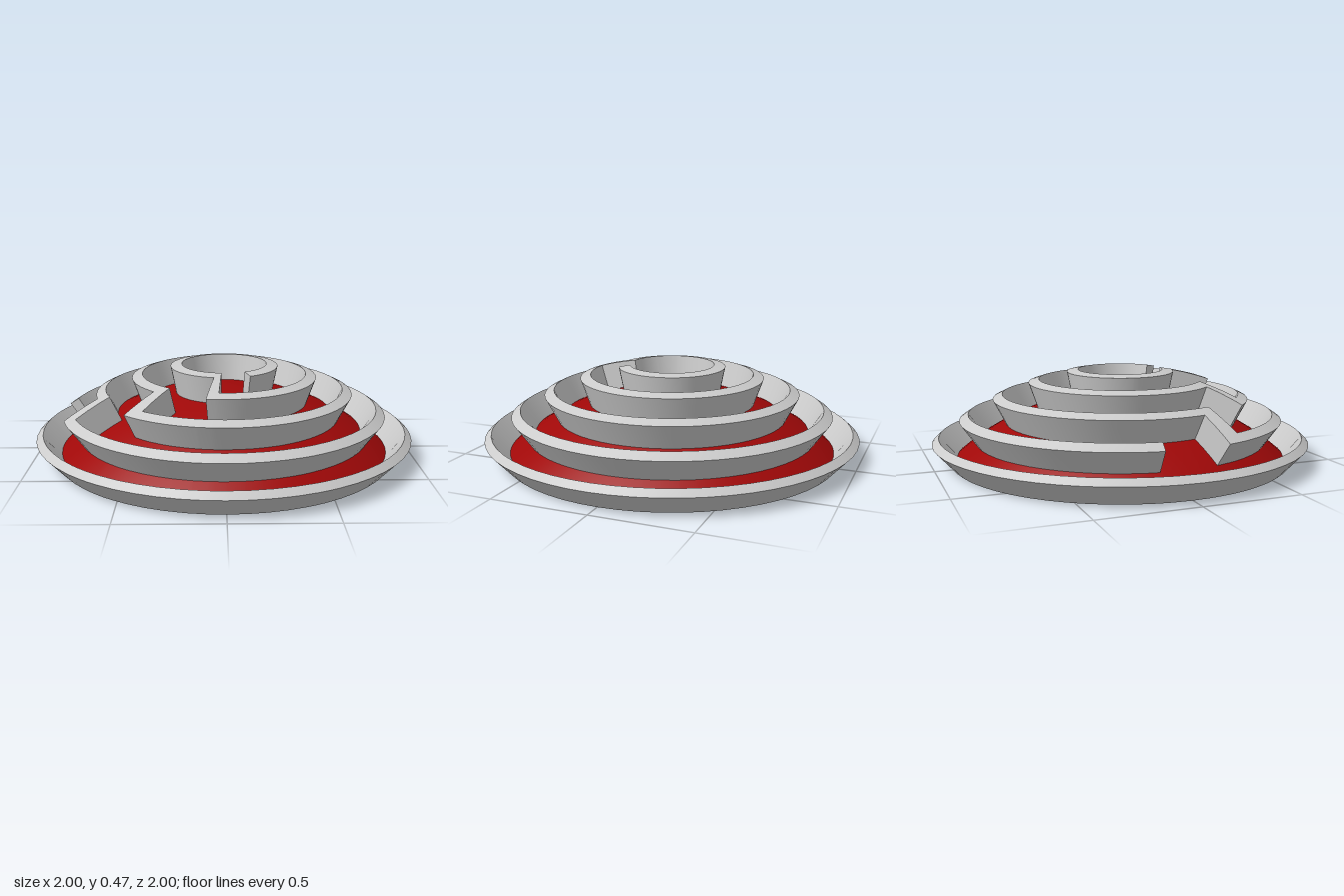
import * as THREE from 'three';
import { toCreasedNormals } from 'three/addons/utils/BufferGeometryUtils.js';

// Spherical dome whose centre lies one unit below the ground
const FLOOR_R = 1.348, TOP_R = 1.492;

// Plan radii (measured at wall-top level) that bound the rings of cells
const radii = [0, 0.11, 0.225, 0.285, 0.36, 0.435, 0.49, 0.56, 0.63, 0.68, 0.745, 0.81, 0.857, 0.91, 0.965, 1];

// Spiral arcs: [inner radius, outer radius, start, end] in degrees from +x towards +z
const arcs = [
  [0.225, 0.285, 101 - 360, 63],
  [0.435, 0.49, 136 - 360, 101],
  [0.63, 0.68, 165 - 360, 136],
  [0.81, 0.857, 187.4 - 360, 165],
  // radial connectors between neighbouring rings
  [0.225, 0.49, 94, 101],
  [0.435, 0.68, 129, 136],
  [0.63, 0.857, 158.5, 165],
];

// Angular steps, with the arc ends added so the walls stop exactly there
const angles = [];
for (let a = 0; a < 360; a += 6) angles.push(a);
for (const [, , s, e] of arcs) angles.push((s + 360) % 360, (e + 360) % 360);
const steps = [...new Set(angles.map((a) => Math.round(a * 10) / 10))].sort((a, b) => a - b);
steps.push(360);

// What stands on a cell: floor, wall, rim, or nothing outside the dome
function cellKind(i, a) {
  if (i >= radii.length - 1) return 'none';
  if (i === radii.length - 2) return 'rim';
  const r = (radii[i] + radii[i + 1]) / 2;
  const hit = arcs.some(([r0, r1, s, e]) => r > r0 && r < r1 &&
    [a, a - 360].some((t) => t > s && t < e));
  return hit ? 'wall' : 'floor';
}

// Point on a sphere of radius R along the ray set by plan radius and angle
function point(rho, deg, R) {
  const s = (rho / TOP_R) * R, a = THREE.MathUtils.degToRad(deg);
  return [s * Math.cos(a), Math.sqrt(R * R - s * s) - 1, s * Math.sin(a)];
}

function meshFrom(name, positions, color) {
  const geometry = new THREE.BufferGeometry();
  geometry.setAttribute('position', new THREE.Float32BufferAttribute(positions, 3));
  const material = new THREE.MeshStandardMaterial({ color, side: THREE.DoubleSide });
  const mesh = new THREE.Mesh(toCreasedNormals(geometry, Math.PI / 7), material);
  mesh.name = name;
  return mesh;
}

export function createModel() {
  const parts = { floor: [], wall: [], rim: [] };
  const quad = (kind, a, b, c, d) => parts[kind].push(...a, ...b, ...c, ...a, ...c, ...d);
  const count = steps.length - 1;
  const mid = (j) => (steps[(j + count) % count] + steps[((j + count) % count) + 1]) / 2;

  for (let j = 0; j < count; j++) {
    const a0 = steps[j], a1 = steps[j + 1];
    for (let i = 0; i < radii.length - 1; i++) {
      const r0 = radii[i], r1 = radii[i + 1];
      const kind = cellKind(i, mid(j));
      const R = kind === 'floor' ? FLOOR_R : TOP_R;

      // floor patch or wall top
      if (i === 0) parts.floor.push(...point(0, a0, R), ...point(r1, a1, R), ...point(r1, a0, R));
      else quad(kind, point(r0, a0, R), point(r0, a1, R), point(r1, a1, R), point(r1, a0, R));
      if (kind === 'floor') continue;

      // curved sides, leaning along the dome's normal
      const curved = (r, s, e) => quad(kind, point(r, s, FLOOR_R), point(r, s, TOP_R),
        point(r, e, TOP_R), point(r, e, FLOOR_R));
      if (cellKind(i + 1, mid(j)) !== kind) curved(r1, a0, a1);
      if (cellKind(i - 1, mid(j)) !== kind) curved(r0, a1, a0);

      // radial end faces
      const end = (a, s, e) => quad(kind, point(s, a, FLOOR_R), point(e, a, FLOOR_R),
        point(e, a, TOP_R), point(s, a, TOP_R));
      if (cellKind(i, mid(j + 1)) !== kind) end(a1, r0, r1);
      if (cellKind(i, mid(j - 1)) !== kind) end(a0, r1, r0);
    }
  }

  const model = new THREE.Group();
  model.name = 'domedMaze';
  model.add(
    meshFrom('domeFloor', parts.floor, 0xa00808),
    meshFrom('spiralWall', parts.wall, 0xcccccc),
    meshFrom('outerRim', parts.rim, 0xcccccc),
  );
  return model;
}
